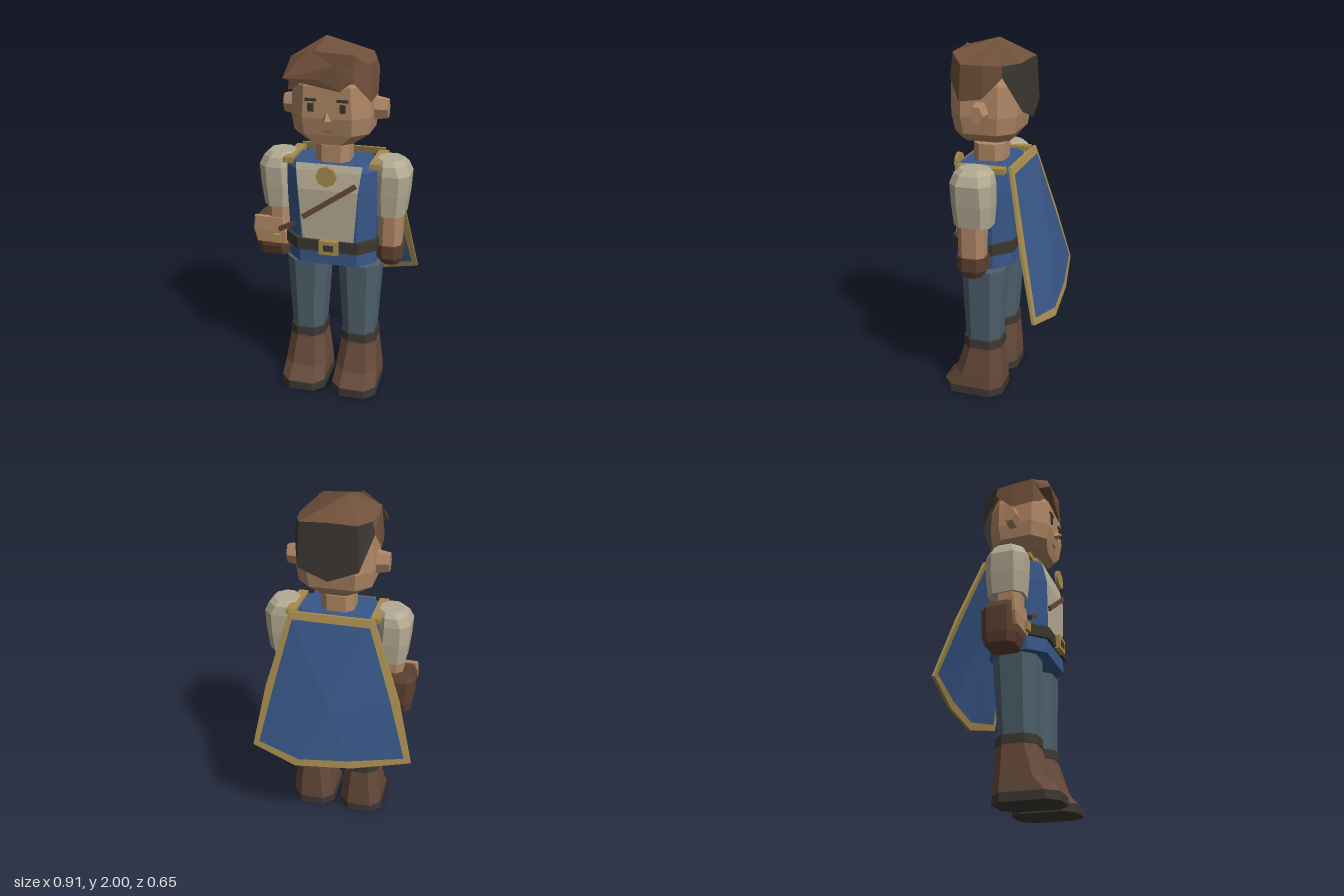
import * as THREE from 'three';
import { ConvexGeometry } from 'three/addons/geometries/ConvexGeometry.js';

const mat = (name, color, side = THREE.FrontSide) =>
  Object.assign(new THREE.MeshStandardMaterial({ color, side }), { name });

const CX = 0.035; // body centre line

// triangle soup from quads / triangles, giving flat facets
function facets(faces) {
  const pos = [];
  for (const f of faces)
    for (let i = 1; i < f.length - 1; i++) pos.push(...f[0], ...f[i], ...f[i + 1]);
  const g = new THREE.BufferGeometry();
  g.setAttribute('position', new THREE.Float32BufferAttribute(pos, 3));
  g.computeVertexNormals();
  return g;
}

// chamfered rectangle cross-section at height y
const ring = ([y, x0, x1, z0, z1, c]) => [
  [x0 + c, y, z1], [x1 - c, y, z1], [x1, y, z1 - c], [x1, y, z0 + c],
  [x1 - c, y, z0], [x0 + c, y, z0], [x0, y, z0 + c], [x0, y, z1 - c]];

// closed solid through sections listed from bottom to top
function loft(sections) {
  const r = sections.map(ring), faces = [[...r[0]].reverse(), r[r.length - 1]];
  for (let k = 0; k < r.length - 1; k++)
    for (let i = 0; i < 8; i++) {
      const j = (i + 1) % 8;
      faces.push([r[k][i], r[k][j], r[k + 1][j], r[k + 1][i]]);
    }
  return facets(faces);
}

// sections given on the +x side of the body, optionally mirrored about its centre line
const sided = (s, list) => list.map(([y, a, b, z0, z1, c]) =>
  s > 0 ? [y, CX + a, CX + b, z0, z1, c] : [y, CX - b, CX - a, z0, z1, c]);

export function createModel() {
  const M = {
    skin: mat('skin', 0xb08765),
    hair: mat('hair brown', 0x70503a, THREE.DoubleSide),
    dark: mat('dark leather', 0x3b3732, THREE.DoubleSide),
    blue: mat('tunic blue', 0x385788, THREE.DoubleSide),
    cream: mat('shirt cream', 0xb5ab94, THREE.DoubleSide),
    gold: mat('gold trim', 0xa68b4d, THREE.DoubleSide),
    slate: mat('trouser slate', 0x4f606c),
    boot: mat('boot brown', 0x664a3a),
    glove: mat('glove brown', 0x5c4031),
    lip: mat('lip brown', 0x8c654b),
  };
  const model = new THREE.Group();
  model.name = 'adventurer';
  const add = (name, geo, m, parent = model) => {
    const mesh = new THREE.Mesh(geo, m);
    mesh.name = name;
    parent.add(mesh);
    return mesh;
  };
  const box = (name, m, w, h, d, x, y, z) => {
    const b = add(name, new THREE.BoxGeometry(w, h, d), m);
    b.position.set(x, y, z);
    return b;
  };

  // legs, boots and arms, one set per side
  for (const s of [1, -1]) {
    const side = s > 0 ? 'left' : 'right';
    add(side + 'Trouser', loft(sided(s, [
      [0.33, 0.06, 0.24, -0.01, 0.19, 0.045], [0.78, 0.03, 0.265, -0.04, 0.205, 0.06]])), M.slate);
    add(side + 'BootCuff', loft(sided(s, [
      [0.295, 0.05, 0.255, -0.022, 0.203, 0.05], [0.345, 0.052, 0.25, -0.02, 0.2, 0.05]])), M.dark);
    add(side + 'Boot', loft(sided(s, [
      [0.045, 0.025, 0.278, -0.03, 0.315, 0.055], [0.12, 0.03, 0.272, -0.028, 0.25, 0.055],
      [0.28, 0.052, 0.252, -0.02, 0.2, 0.05], [0.3, 0.055, 0.25, -0.02, 0.198, 0.05]])), M.boot);
    add(side + 'Sole', loft(sided(s, [
      [0, 0.02, 0.282, -0.033, 0.322, 0.06], [0.046, 0.022, 0.28, -0.031, 0.32, 0.06]])), M.dark);
    add(side + 'Sleeve', loft(sided(s, [
      [1.08, 0.235, 0.39, -0.015, 0.185, 0.04], [1.2, 0.225, 0.405, -0.025, 0.195, 0.045],
      [1.31, 0.225, 0.412, -0.025, 0.2, 0.05], [1.36, 0.225, 0.39, -0.015, 0.185, 0.05],
      [1.385, 0.235, 0.365, 0.01, 0.16, 0.04]])), M.cream);
    add(side + 'Forearm', loft(sided(s, [
      [0.89, 0.25, 0.375, 0.025, 0.165, 0.03], [1.09, 0.25, 0.38, 0.02, 0.17, 0.035]])), M.skin);
    box(side + 'ShoulderTrim', M.gold, 0.055, 0.03, 0.26, CX + s * 0.235, 1.36, 0.07);
    // ear
    const ear = add(side + 'Ear', new THREE.CylinderGeometry(0.04, 0.05, 0.07, 6).toNonIndexed(), M.skin);
    ear.geometry.computeVertexNormals();
    ear.rotation.z = -s * Math.PI / 2;
    ear.scale.set(1.35, 1, 0.9);
    ear.position.set(CX + s * 0.245, 1.645, 0.08);
    // eye and brow
    box(side + 'Eye', M.dark, 0.03, 0.042, 0.008, CX + s * 0.083, 1.675, 0.275);
    box(side + 'Brow', M.dark, 0.058, 0.014, 0.008, CX + s * 0.083, 1.715, 0.277);
  }

  // hanging left glove, clenched right fist with a stick
  add('leftGlove', loft(sided(1, [
    [0.79, 0.265, 0.37, 0.04, 0.15, 0.03], [0.83, 0.24, 0.385, 0.015, 0.175, 0.04],
    [0.905, 0.24, 0.385, 0.015, 0.175, 0.04]])), M.glove);
  add('rightGlove', loft([
    [0.775, -0.4, -0.225, -0.01, 0.15, 0.03], [0.83, -0.41, -0.22, -0.025, 0.168, 0.04],
    [0.97, -0.418, -0.22, -0.025, 0.168, 0.04], [1.005, -0.4, -0.235, 0, 0.16, 0.03]]), M.glove);
  add('rightFingers', loft([
    [0.86, -0.4, -0.222, 0.15, 0.18, 0.008], [0.93, -0.418, -0.222, 0.15, 0.182, 0.008],
    [1.01, -0.412, -0.24, 0.15, 0.178, 0.008]]), M.skin);
  box('handBuckle', M.gold, 0.042, 0.05, 0.02, -0.275, 0.895, 0.195);
  box('stick', M.glove, 0.13, 0.024, 0.024, -0.2, 0.985, 0.2).rotation.z = 0.48;

  // torso and clothing
  add('tunic', loft([
    [0.8, -0.21, 0.28, -0.075, 0.252, 0.085], [0.95, -0.205, 0.275, -0.073, 0.248, 0.085],
    [1.23, -0.215, 0.285, -0.075, 0.255, 0.085], [1.33, -0.215, 0.285, -0.05, 0.235, 0.07],
    [1.36, -0.19, 0.26, -0.035, 0.222, 0.06]]), M.blue);
  const front = [[0.93, 0.14, 0.255], [1.23, 0.163, 0.261], [1.33, 0.175, 0.241], [1.365, 0.18, 0.228]]
    .map(([y, h, z]) => [[CX - h, y, z], [CX + h, y, z]]);
  add('shirtFront', facets(front.slice(1).map((b, i) => [front[i][0], front[i][1], b[1], b[0]])), M.cream);
  box('chestStrap', M.boot, 0.35, 0.027, 0.012, 0.042, 1.17, 0.264).rotation.z = 0.605;
  add('belt', loft([
    [0.88, -0.222, 0.292, -0.082, 0.268, 0.09], [0.945, -0.222, 0.292, -0.082, 0.268, 0.09]]), M.dark);
  box('beltBuckle', M.gold, 0.105, 0.078, 0.03, 0.045, 0.912, 0.276);
  box('buckleHole', M.dark, 0.055, 0.036, 0.008, 0.045, 0.912, 0.29);
  const medal = add('medallion', new THREE.CylinderGeometry(0.055, 0.055, 0.02, 8), M.gold);
  medal.rotation.x = Math.PI / 2;
  medal.position.set(CX, 1.317, 0.285);
  add('neck', loft([
    [1.34, -0.06, 0.125, 0.005, 0.178, 0.04], [1.452, -0.06, 0.125, 0.005, 0.178, 0.04]]), M.skin);

  // head and face
  add('head', loft([
    [1.475, -0.085, 0.155, -0.03, 0.24, 0.055], [1.53, -0.165, 0.235, -0.075, 0.255, 0.075],
    [1.62, -0.175, 0.245, -0.09, 0.272, 0.08], [1.78, -0.165, 0.235, -0.09, 0.272, 0.08],
    [1.88, -0.13, 0.2, -0.07, 0.235, 0.08]]), M.skin);
  add('nose', new ConvexGeometry([[-0.027, 1.605, 0.265], [0.027, 1.605, 0.265], [0, 1.662, 0.268], [0, 1.615, 0.315]]
    .map(([x, y, z]) => new THREE.Vector3(CX + x, y, z))), M.skin);
  box('mouth', M.lip, 0.05, 0.015, 0.008, CX, 1.553, 0.26);

  // hair: crown fan, then hanging locks, darker around the back
  const crown = [
    [-0.03, 1.95, 0.26], [0.165, 1.94, 0.255], [0.23, 1.885, 0.19], [0.24, 1.885, 0.07],
    [0.225, 1.885, -0.03], [0.19, 1.9, -0.12], [0.04, 1.91, -0.13], [-0.11, 1.9, -0.12],
    [-0.165, 1.895, -0.02], [-0.18, 1.895, 0.08], [-0.17, 1.91, 0.2]];
  const drop = [1.82, 1.8, 1.7, 1.72, 1.83, 1.66, 1.6, 1.66, 1.83, 1.72, 1.74];
  const tips = crown.map(([x, , z], i) => [CX + (x - CX) * 1.08, drop[i], 0.07 + (z - 0.07) * 1.06]);
  const n = crown.length, top = [-0.02, 2, 0.06], next = i => (i + 1) % n;
  const wall = i => [tips[i], tips[next(i)], crown[next(i)], crown[i]];
  const isBack = i => i >= 4 && i <= 7;
  const ids = [...crown.keys()];
  add('hairCrown', facets(ids.map(i => [top, crown[i], crown[next(i)]])), M.hair);
  add('hairSides', facets(ids.filter(i => !isBack(i)).map(wall)), M.hair);
  add('hairBack', facets(ids.filter(isBack).map(wall)), M.dark);
  const locks = {
    fringeSweep: [[-0.2, 1.81, 0.25], [-0.17, 1.905, 0.2], [-0.06, 1.96, 0.26], [0.08, 1.89, 0.29],
      [0.11, 1.76, 0.28], [0, 1.82, 0.3], [-0.18, 1.82, 0.31]],
    fringeSide: [[0.02, 1.95, 0.25], [0.18, 1.93, 0.25], [0.235, 1.83, 0.18], [0.1, 1.765, 0.28],
      [0.16, 1.81, 0.275], [0.22, 1.89, 0.2]],
  };
  for (const [name, pts] of Object.entries(locks))
    add(name, new ConvexGeometry(pts.map(p => new THREE.Vector3(...p))), M.hair);

  // cape: blue faceted panel inside a thin gold hem
  const rim = [
    [-0.2, 1.38, -0.085], [-0.365, 0.95, -0.175], [-0.455, 0.61, -0.25], [-0.13, 0.55, -0.3],
    [0.19, 0.525, -0.318], [0.455, 0.595, -0.27], [0.39, 0.95, -0.185], [0.27, 1.38, -0.085]];
  const mid = [0.02, 0.9, -0.235];
  const inset = rim.map(([x, y, z]) => {
    const dx = mid[0] - x, dy = mid[1] - y, k = 0.045 / Math.hypot(dx, dy);
    return [x + dx * k, y + dy * k, z + (mid[2] - z) * k];
  });
  const shift = (p, d) => [p[0], p[1], p[2] + d];
  const panel = [], hem = [];
  rim.forEach((p, i) => {
    const j = (i + 1) % rim.length, q = rim[j], a = inset[i], b = inset[j];
    for (const d of [0.008, -0.008]) {
      const tri = [mid, a, b].map(v => shift(v, d)), strip = [p, q, b, a].map(v => shift(v, d));
      panel.push(d > 0 ? tri : tri.reverse());
      hem.push(d > 0 ? strip : strip.reverse());
    }
    hem.push([shift(p, -0.008), shift(q, -0.008), shift(q, 0.008), shift(p, 0.008)]);
  });
  add('capePanel', facets(panel), M.blue);
  add('capeHem', facets(hem), M.gold);

  return model;
}
